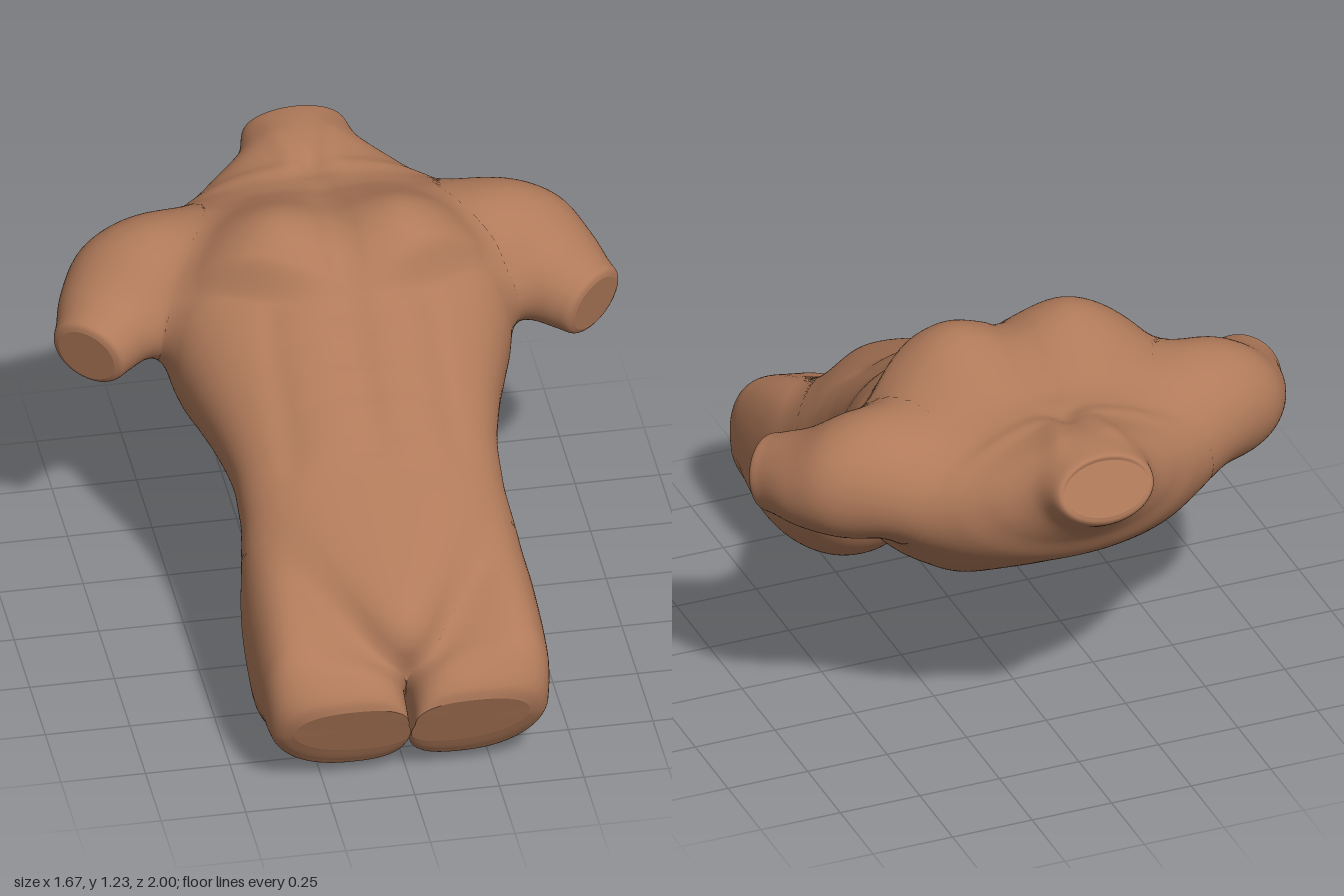
import * as THREE from 'three';

const skin = new THREE.MeshStandardMaterial({ color: 0xb07a5a, roughness: 0.8 });
const bell = (v, centre, width) => Math.exp(-(((v - centre) / width) ** 2));
const step = THREE.MathUtils.smoothstep;
const spow = (v, p) => Math.sign(v) * Math.abs(v) ** p;

// Smoothly interpolated station row at s = 0..1
function sample(rows, s) {
  const f = s * (rows.length - 1);
  const i = Math.min(Math.floor(f), rows.length - 2);
  const t = f - i;
  const at = (k) => rows[THREE.MathUtils.clamp(k, 0, rows.length - 1)];
  return rows[i].map((_, c) => {
    const [a, b, d, e] = [at(i - 1)[c], at(i)[c], at(i + 1)[c], at(i + 2)[c]];
    return b + 0.5 * t * (d - a + t * (2 * a - 5 * b + 4 * d - e + t * (3 * (b - d) + e - a)));
  });
}

// Skin closed rings of points, with a cap on both ends; side = -1 mirrors in x
function loft(name, rows, ringPoint, nu, nv, side = 1) {
  const pos = [];
  const index = [];
  const tri = (a, b, c) => (side > 0 ? index.push(a, b, c) : index.push(a, c, b));
  const add = (p) => pos.push(p.x * side, p.y, p.z);
  const ring = (s) => {
    const row = sample(rows, s);
    return Array.from({ length: nv }, (_, j) => ringPoint(row, (j / nv) * Math.PI * 2));
  };
  for (let i = 0; i <= nu; i++) ring(i / nu).forEach(add);
  for (let i = 0; i < nu; i++) {
    for (let j = 0; j < nv; j++) {
      const a = i * nv + j;
      const b = i * nv + ((j + 1) % nv);
      tri(a, b, a + nv);
      tri(b, b + nv, a + nv);
    }
  }
  for (const end of [0, 1]) {
    const base = pos.length / 3;
    const rim = ring(end);
    rim.forEach(add);
    add(rim.reduce((m, p) => m.add(p), new THREE.Vector3()).divideScalar(nv));
    for (let j = 0; j < nv; j++) {
      const k = (j + 1) % nv;
      if (end) tri(base + nv, base + j, base + k);
      else tri(base + nv, base + k, base + j);
    }
  }
  const geo = new THREE.BufferGeometry();
  geo.setAttribute('position', new THREE.Float32BufferAttribute(pos, 3));
  geo.setIndex(index);
  geo.computeVertexNormals();
  const mesh = new THREE.Mesh(geo, skin);
  mesh.name = name;
  return mesh;
}

// Swell a surface into a soft fillet of reach k where it meets another one
function fillet(geo, other, k) {
  const { position, normal } = geo.attributes;
  const q = other.attributes.position.array;
  other.computeBoundingBox();
  const box = other.boundingBox.clone().expandByScalar(k);
  const [p, n, m] = [0, 0, 0].map(() => new THREE.Vector3());
  for (let i = 0; i < position.count; i++) {
    if (!box.containsPoint(p.fromBufferAttribute(position, i))) continue;
    let best = Infinity;
    let near = 0;
    for (let j = 0; j < q.length; j += 3) {
      const d = (q[j] - p.x) ** 2 + (q[j + 1] - p.y) ** 2 + (q[j + 2] - p.z) ** 2;
      if (d < best) [best, near] = [d, j];
    }
    m.fromBufferAttribute(other.attributes.normal, near / 3);
    const gap = m.dot(p) - m.x * q[near] - m.y * q[near + 1] - m.z * q[near + 2];
    if (Math.abs(gap) >= k || best > 2.25 * k * k) continue;
    n.fromBufferAttribute(normal, i).lerp(m, 0.5 * (1 - gap / k));
    p.addScaledVector(n, (0.25 * k * (1 - Math.abs(gap) / k) ** 2) / Math.max(n.lengthSq(), 0.3));
    position.setXYZ(i, p.x, p.y, p.z);
    n.normalize();
    normal.setXYZ(i, n.x, n.y, n.z);
  }
}

// Slanted oval section from a front point to a back point
function section([fz, fy, bz, by, w, nf, nb], angle) {
  const v = Math.sin(angle);
  const n = v > 0 ? nf : nb;
  const t = 0.5 - 0.5 * spow(v, 2 / n);
  return new THREE.Vector3(w * spow(Math.cos(angle), 2 / n), fy + (by - fy) * t, fz + (bz - fz) * t);
}

// Muscles of chest and belly, as height over the plain section
function frontRelief(x, z) {
  const border = -0.025 - 0.9 * x * x;
  const breast = bell(x, 0.2, x < 0.2 ? 0.18 : 0.23) * bell(z, -0.21, 0.22);
  let h = 0.095 * (1 - step(z, border - 0.045, border + 0.015)) * breast;
  const belly = step(z, -0.08, 0) * (1 - step(z, 0.33, 0.42));
  h += 0.018 * belly * bell(x, 0.1, 0.1);
  for (const crease of [0.05, 0.125, 0.21, 0.355]) {
    h -= 0.011 * bell(z, crease + 0.3 * x * x, 0.024) * bell(x, 0, 0.16);
  }
  h -= 0.012 * bell(x, 0, 0.025) * step(z, -0.62, -0.5) * (1 - step(z, 0.25, 0.4));
  h -= 0.009 * bell(x, 0.24, 0.04) * belly;
  // Collarbones, neck cords and the pit of the neck
  h += 0.008 * bell(z, -0.63 - 0.12 * x, 0.03) * step(x, 0.03, 0.1);
  h += 0.01 * bell(x, 0.03 + 0.3 * (-0.6 - z), 0.035) * step(-z, 0.6, 0.66) * (1 - step(-z, 0.78, 0.9));
  return h - 0.018 * bell(x, 0, 0.05) * bell(z, -0.64, 0.06);
}

// Spine furrow, shoulder blades and flanks, as depth out of the back
function backRelief(x, z) {
  let h = -0.028 * bell(x, 0, 0.055) * step(z, -0.75, -0.55) * (1 - step(z, 0.3, 0.45));
  h += 0.025 * bell(x, 0.25, 0.12) * bell(z, -0.45, 0.14);
  h += 0.015 * bell(x, 0.34, 0.1) * bell(z, -0.15, 0.16);
  h += 0.015 * bell(x, 0.09, 0.06) * bell(z, 0.08, 0.2);
  return h - 0.008 * bell(x - 0.28 + 0.45 * (z + 0.3), 0, 0.04) * bell(z, -0.25, 0.15);
}

function torsoPoint(row, angle) {
  const p = section(row, angle);
  const x = Math.abs(p.x);
  const v = Math.sin(angle);
  if (v > 0) p.y += frontRelief(x, p.z) * step(v, 0, 0.5);
  else p.y -= backRelief(x, p.z) * step(-v, 0, 0.5);
  return p;
}

// Inner side stays near the middle; the front slopes down inward to the groin
function thighPoint(row, angle) {
  const p = section(row, angle);
  const v = Math.sin(angle);
  p.y += 0.28 * p.x * Math.max(0, v) * (1 - step(p.z, 0.86, 1));
  p.x += row[4] + 0.009 - 0.05 * Math.max(0, -v);
  return p;
}

// Arm sections stand square to an axis going outward, forward and slightly down
const across = new THREE.Vector3(0.77, 0, -0.64);
const upward = new THREE.Vector3(0.13, 0.98, 0.15);
function armPoint([x, y, z, wide, high], angle) {
  return new THREE.Vector3(x, y, z)
    .addScaledVector(across, wide * Math.cos(angle))
    .addScaledVector(upward, high * Math.sin(angle));
}

export function createModel() {
  const group = new THREE.Group();
  group.name = 'torso sculpture';
  // Columns: front z, front y, back z, back y, half width, front and back roundness
  const body = [
    [-0.925, 1.12, -0.995, 0.97, 0.13, 2, 2], [-0.915, 1.14, -0.985, 0.94, 0.152, 2, 2],
    [-0.81, 1.145, -0.9, 0.88, 0.187, 2, 2], [-0.71, 1.13, -0.835, 0.81, 0.295, 1.8, 2],
    [-0.63, 1.115, -0.78, 0.73, 0.39, 1.9, 2], [-0.53, 1.115, -0.7, 0.67, 0.46, 2.2, 2.2],
    [-0.42, 1.135, -0.58, 0.6, 0.485, 2.4, 2.5], [-0.28, 1.15, -0.42, 0.535, 0.505, 2.4, 2.8],
    [-0.16, 1.13, -0.29, 0.505, 0.51, 2.4, 2.8], [-0.08, 1.085, -0.19, 0.482, 0.495, 2.4, 2.7],
    [0, 1.035, -0.1, 0.463, 0.465, 2.4, 2.5], [0.12, 0.945, 0, 0.44, 0.425, 2.4, 2.4],
    [0.27, 0.845, 0.12, 0.415, 0.392, 2.5, 2.4], [0.38, 0.775, 0.22, 0.36, 0.388, 2.5, 2.3],
    [0.52, 0.705, 0.34, 0.28, 0.385, 2.4, 2.2], [0.66, 0.635, 0.46, 0.22, 0.32, 2.3, 2],
    [0.78, 0.57, 0.6, 0.2, 0.21, 2.2, 2], [0.855, 0.51, 0.72, 0.23, 0.13, 2, 2],
    [0.88, 0.45, 0.79, 0.25, 0.085, 2, 2], [0.875, 0.39, 0.82, 0.27, 0.05, 2, 2],
    [0.85, 0.33, 0.835, 0.29, 0.01, 2, 2],
  ];
  // Buttock and thigh stump, same columns
  const thigh = [
    [0.36, 0.6, 0.28, 0.36, 0.17, 2.3, 2.2], [0.5, 0.58, 0.345, 0.25, 0.198, 2.4, 2.2],
    [0.64, 0.545, 0.41, 0.125, 0.208, 2.6, 2.2], [0.76, 0.505, 0.515, 0.035, 0.211, 2.8, 2.2],
    [0.86, 0.46, 0.64, 0, 0.211, 3, 2.3], [0.93, 0.425, 0.76, 0.05, 0.207, 3, 2.5],
    [0.97, 0.385, 0.85, 0.04, 0.2, 2.9, 2.5], [0.995, 0.345, 0.885, 0.07, 0.188, 2.7, 2.4],
    [1, 0.31, 0.915, 0.12, 0.17, 2.5, 2.3],
  ];
  // Shoulder and arm stump: centre x, y, z, half width, half height
  const arm = [
    [0.18, 0.92, -0.6, 0.06, 0.06], [0.28, 0.925, -0.56, 0.135, 0.12],
    [0.37, 0.93, -0.515, 0.19, 0.17], [0.47, 0.93, -0.45, 0.216, 0.19],
    [0.57, 0.91, -0.39, 0.206, 0.182], [0.66, 0.875, -0.31, 0.167, 0.144],
    [0.718, 0.855, -0.23, 0.13, 0.12], [0.744, 0.847, -0.195, 0.115, 0.11],
    [0.752, 0.844, -0.185, 0.092, 0.09],
  ];
  const torso = loft('torso', body, torsoPoint, 170, 150);
  const plainTorso = torso.geometry.clone();
  group.add(torso);
  for (const [word, side] of [['left', 1], ['right', -1]]) {
    const limbs = [
      [loft(word + 'Thigh', thigh, thighPoint, 70, 80, side), 0.06],
      [loft(word + 'Arm', arm, armPoint, 64, 72, side), 0.09],
    ];
    for (const [limb, reach] of limbs) {
      const plainLimb = limb.geometry.clone();
      fillet(limb.geometry, plainTorso, reach);
      fillet(torso.geometry, plainLimb, reach);
      group.add(limb);
    }
  }
  return group;
}
